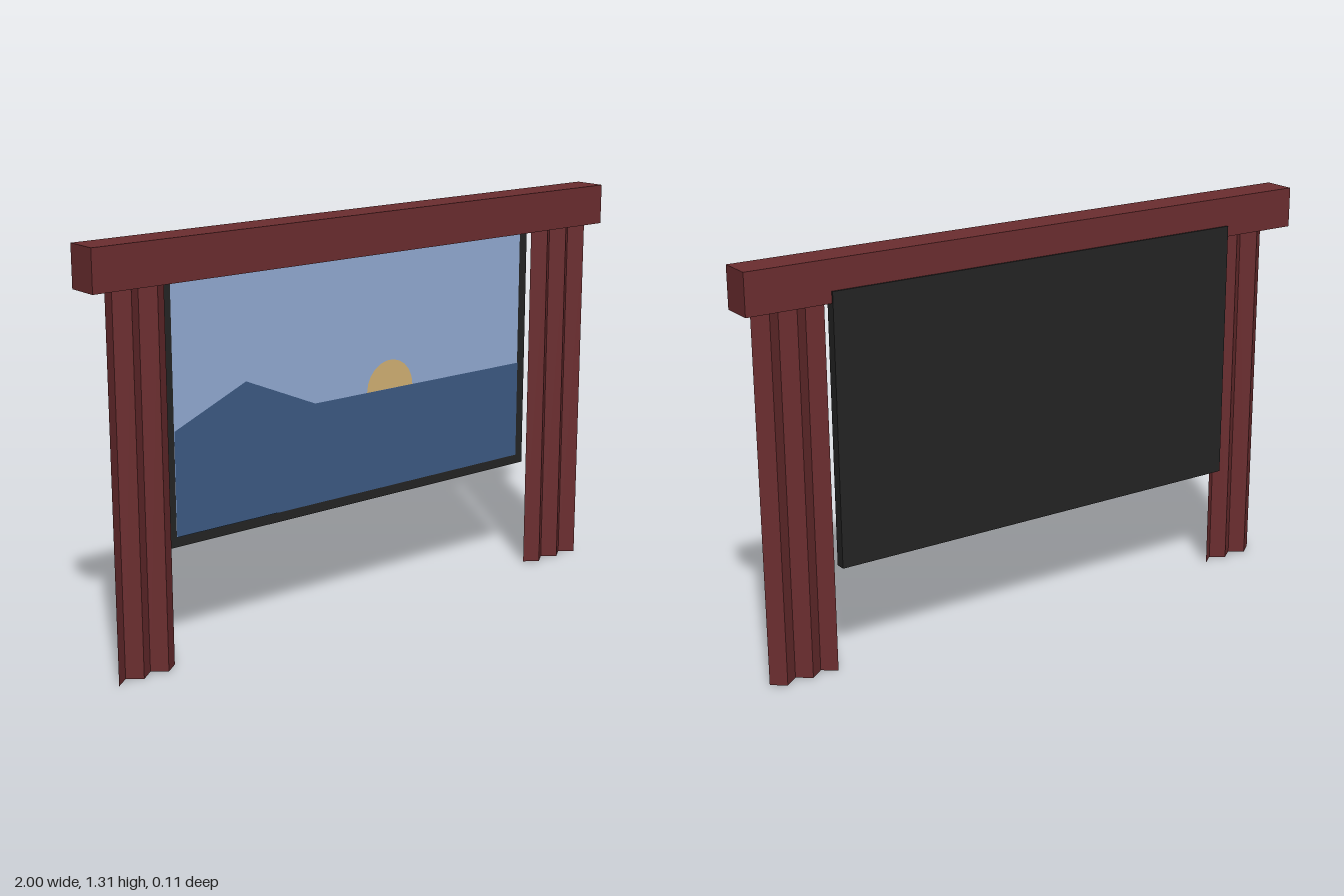
import * as THREE from 'three';

function material(name, color, side = THREE.FrontSide) {
  const m = new THREE.MeshStandardMaterial({ color, side });
  m.name = name;
  return m;
}

// Vertical pleated sheet following a zigzag of [x, z] points
function pleatedSheet(points, bottom, top) {
  const positions = [];
  for (let i = 0; i < points.length - 1; i++) {
    const [x0, z0] = points[i];
    const [x1, z1] = points[i + 1];
    positions.push(x0, bottom, z0, x1, bottom, z1, x1, top, z1);
    positions.push(x0, bottom, z0, x1, top, z1, x0, top, z0);
  }
  const geometry = new THREE.BufferGeometry();
  geometry.setAttribute('position', new THREE.Float32BufferAttribute(positions, 3));
  geometry.computeVertexNormals();
  return geometry;
}

export function createModel() {
  const group = new THREE.Group();
  group.name = 'curtainedWindow';
  const red = material('curtain red', 0x6b2d2f, THREE.DoubleSide);
  const black = material('frame black', 0x242424);
  const sky = material('sky blue', 0x92abd3);
  const sea = material('deep blue', 0x3c5a84);
  const gold = material('sun gold', 0xd2b174);

  const add = (name, geometry, mat, x = 0, y = 0, z = 0) => {
    const mesh = new THREE.Mesh(geometry, mat);
    mesh.name = name;
    mesh.position.set(x, y, z);
    group.add(mesh);
    return mesh;
  };

  // Box pelmet across the top
  add('pelmet', new THREE.BoxGeometry(2, 0.13, 0.108), red, 0, 1.241, 0.003);

  // Pleated curtains, five folds each, mirrored
  const inner = 0.73, outer = 0.947, folds = 5;
  for (const side of [-1, 1]) {
    const points = [];
    for (let i = 0; i <= folds; i++) {
      const x = inner + ((outer - inner) * i) / folds;
      points.push([side * x, i % 2 ? 0.031 : -0.003]);
    }
    if (side < 0) points.reverse();
    add(side < 0 ? 'rightCurtain' : 'leftCurtain', pleatedSheet(points, 0, 1.18), red);
  }

  // Dark panel behind the curtains
  add('windowFrame', new THREE.BoxGeometry(1.46, 0.852, 0.033), black, 0, 0.786, -0.0405);

  // Painted view: sky, half sun, then sea with a hill
  add('sky', new THREE.PlaneGeometry(1.394, 0.79), sky, 0, 0.787, -0.0225);
  add('sun', new THREE.CircleGeometry(0.095, 11, 0, Math.PI), gold, 0.13, 0.718, -0.021);
  const land = new THREE.Shape([
    [-0.697, 0.392], [0.697, 0.392], [0.697, 0.718],
    [-0.174, 0.718], [-0.436, 0.83], [-0.697, 0.718],
  ].map(([x, y]) => new THREE.Vector2(x, y)));
  add('seaAndHill', new THREE.ShapeGeometry(land), sea, 0, 0, -0.0205);

  return group;
}
